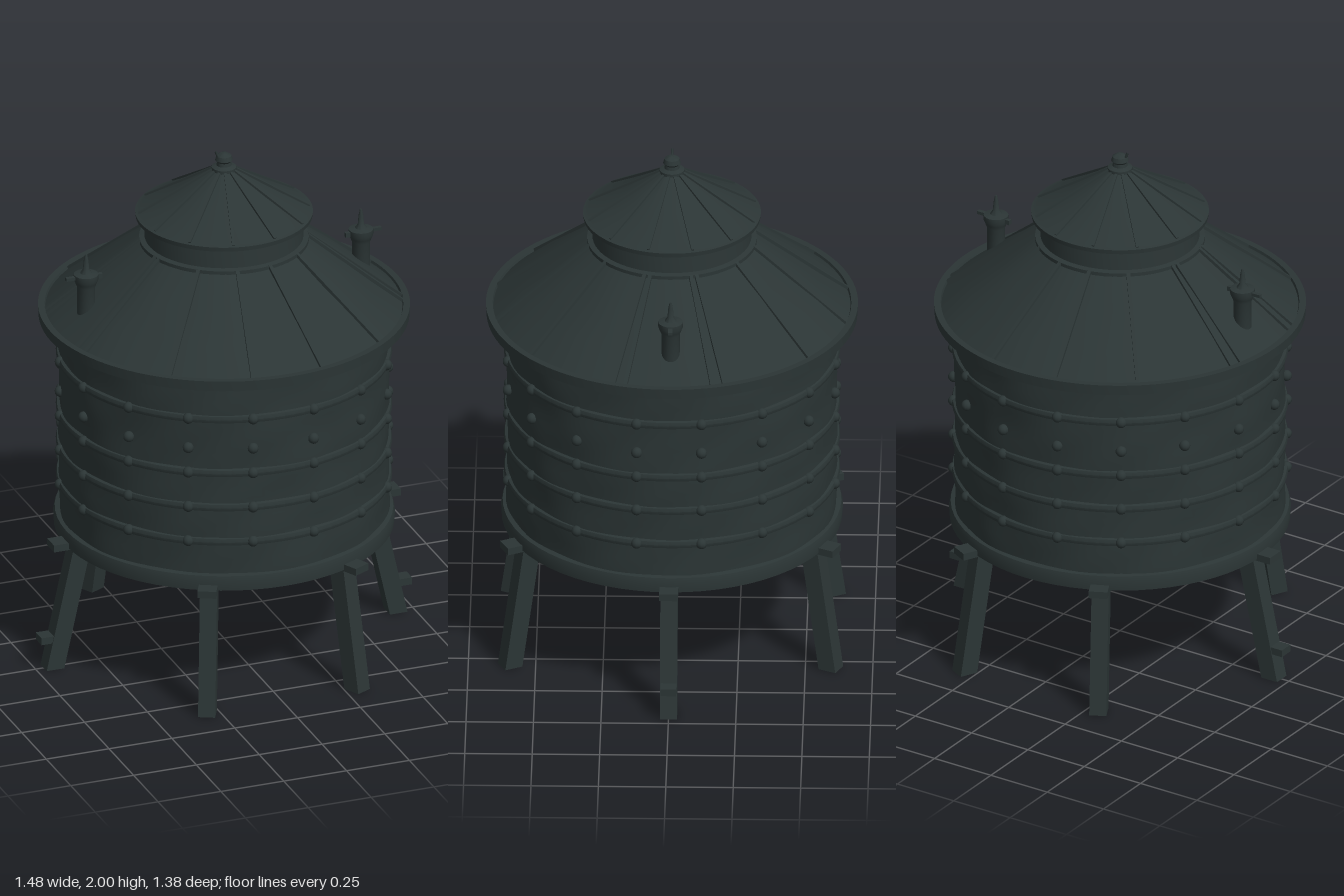
import * as THREE from 'three';
import { toCreasedNormals } from 'three/addons/utils/BufferGeometryUtils.js';

const DEG = Math.PI / 180;

export function createModel() {
  const model = new THREE.Group();
  model.name = 'waterTower';
  const iron = new THREE.MeshStandardMaterial({ color: 0x2b3535 });
  iron.name = 'darkIron';

  const add = (name, geometry, parent = model) => {
    const mesh = new THREE.Mesh(geometry, iron);
    mesh.name = name;
    parent.add(mesh);
    return mesh;
  };
  const polar = (r, y, a) => new THREE.Vector3(r * Math.cos(a), y, r * Math.sin(a));

  // Turned part; optional rule gives a radial dent for each angle and height
  const turned = (name, profile, segments = 64, parent = model, dent = null) => {
    const geo = new THREE.LatheGeometry(profile.map(([r, y]) => new THREE.Vector2(r, y)), segments);
    if (dent) {
      const p = geo.attributes.position;
      for (let i = 0; i < p.count; i++) {
        const x = p.getX(i), y = p.getY(i), z = p.getZ(i);
        const r = Math.hypot(x, z) || 1;
        const s = 1 + dent(Math.atan2(z, x), y) / r;
        p.setXYZ(i, x * s, y, z * s);
      }
    }
    return add(name, toCreasedNormals(geo, 0.6), parent);
  };

  // Square bar between two points
  const bar = (name, from, to, width, height) => {
    const mesh = add(name, new THREE.BoxGeometry(width, height, from.distanceTo(to)));
    mesh.position.copy(from).lerp(to, 0.5);
    mesh.lookAt(to);
    return mesh;
  };

  // Group whose +x points outward at an angle
  const spoke = (name, a) => {
    const g = new THREE.Group();
    g.name = name;
    g.rotation.y = -a;
    model.add(g);
    return g;
  };

  // Weathered tank wall
  const wall = [];
  for (let i = 0; i <= 24; i++) wall.push([0.612, 0.5 + (0.85 * i) / 24]);
  turned('tankWall', wall, 96, model, (a, y) =>
    0.004 * Math.sin(8 * a + 9 * y) * Math.sin(23 * y + 2 * Math.sin(3 * a)));

  // Dished underside with drain
  turned('tankBottom', [[0, 0.42], [0.08, 0.422], [0.2, 0.437], [0.32, 0.462],
    [0.42, 0.485], [0.5, 0.493], [0.62, 0.493]]);
  turned('drain', [[0, 0.385], [0.012, 0.39], [0.014, 0.408], [0.03, 0.415], [0.03, 0.44]], 12);
  turned('bottomRim', [[0.6, 0.488], [0.632, 0.488], [0.634, 0.525], [0.628, 0.545], [0.605, 0.55]]);

  // Hoops and rivets
  const rivetGeo = new THREE.SphereGeometry(0.021, 10, 8);
  for (const y of [1.18, 0.96, 0.82, 0.68]) {
    turned('hoop', [[0.605, y - 0.018], [0.62, y - 0.013], [0.624, y],
      [0.62, y + 0.013], [0.605, y + 0.018]], 96);
  }
  for (const y of [1.18, 1.06, 0.96, 0.82, 0.68]) {
    for (let i = 0; i < 16; i++) {
      const rivet = add('rivet', rivetGeo);
      rivet.position.copy(polar(0.617, y, (i + 0.5) * 22.5 * DEG));
    }
  }

  // Eaves ring with brackets below
  turned('eavesRing', [[0.6, 1.33], [0.688, 1.33], [0.69, 1.37], [0.665, 1.37], [0.66, 1.355]], 96);
  for (let i = 0; i < 32; i++) {
    const g = spoke('eavesBracket', (i + 0.5) * 11.25 * DEG);
    add('bracketBlock', new THREE.BoxGeometry(0.03, 0.03, 0.025), g).position.set(0.62, 1.318, 0);
  }

  // Lower roof, neck and cap
  turned('lowerRoof', [[0.672, 1.352], [0.55, 1.449], [0.43, 1.543], [0.305, 1.64]], 72, model,
    (a, y) => (y < 1.36 || y > 1.63 ? 0 : 0.006 * Math.sin(9 * a + 14 * y)));
  turned('neck', [[0.29, 1.625], [0.315, 1.632], [0.315, 1.646], [0.295, 1.65],
    [0.29, 1.72], [0.3, 1.735]]);
  turned('cap', [[0.28, 1.73], [0.328, 1.733], [0.33, 1.75], [0.312, 1.755],
    [0.17, 1.838], [0.035, 1.922]], 72);

  // Raised roof seams
  for (const side of [0, 180]) {
    for (const d of [-51, -18, 18, 51, 78, 102]) {
      const a = (side + d) * DEG;
      bar('roofSeam', polar(0.668, 1.358, a), polar(0.308, 1.641, a), 0.014, 0.016);
    }
    for (const d of [-14, 14]) {
      const a = (side + d) * DEG;
      bar('roofSeam', polar(0.668, 1.358, a), polar(0.308, 1.641, a), 0.014, 0.016);
    }
  }
  for (let i = 0; i < 12; i++) {
    const a = (i + 0.5) * 30 * DEG;
    bar('capSeam', polar(0.318, 1.752, a), polar(0.035, 1.922, a), 0.01, 0.012);
  }

  // Finial with hook
  turned('finial', [[0.03, 1.91], [0.046, 1.918], [0.046, 1.93], [0.028, 1.937], [0.026, 1.95],
    [0.033, 1.958], [0.028, 1.975], [0.012, 1.985], [0, 1.987]], 20);
  const hook = new THREE.CatmullRomCurve3([
    new THREE.Vector3(-0.01, 1.97, 0), new THREE.Vector3(-0.025, 1.977, 0),
    new THREE.Vector3(-0.034, 1.998, 0)]);
  add('finialHook', new THREE.TubeGeometry(hook, 8, 0.005, 6));

  // Vent pipes on both sides of the roof
  for (const s of [-1, 1]) {
    const vent = new THREE.Group();
    vent.name = 'ventPipe';
    vent.position.set(s * 0.547, 0, -0.005);
    model.add(vent);
    turned('pipe', [[0.034, 1.4], [0.034, 1.53], [0.04, 1.545], [0.046, 1.56], [0.046, 1.58],
      [0.022, 1.585], [0.012, 1.6], [0.009, 1.635], [0.004, 1.66], [0, 1.66]], 20, vent);
    add('pipeHandle', new THREE.BoxGeometry(0.05, 0.012, 0.016), vent).position.set(s * 0.055, 1.57, 0);
    add('pipeLug', new THREE.BoxGeometry(0.03, 0.018, 0.016), vent).position.set(-s * 0.048, 1.565, 0);
  }

  // Six splayed legs, sheared so the feet stay flat
  for (const deg of [0, 63.4, 116.6, 180, 243.4, 296.6]) {
    const onSide = deg % 180 === 0;
    const foot = onSide ? 0.683 : 0.665, top = onSide ? 0.572 : 0.588;
    const g = spoke('legAssembly', deg * DEG);
    const geo = new THREE.BoxGeometry(0.07, 0.5, 0.064);
    geo.translate(0, 0.25, 0);
    const p = geo.attributes.position;
    for (let i = 0; i < p.count; i++) {
      p.setX(i, p.getX(i) + foot + (top - foot) * (p.getY(i) / 0.5));
    }
    geo.computeVertexNormals();
    add('leg', geo, g);
    add('legTab', new THREE.BoxGeometry(0.13, 0.028, 0.07), g).position.set(0.625, 0.496, 0);
    if (onSide) {
      add('footBracket', new THREE.BoxGeometry(0.075, 0.028, 0.058), g).position.set(0.7, 0.122, 0);
    }
  }

  return model;
}
